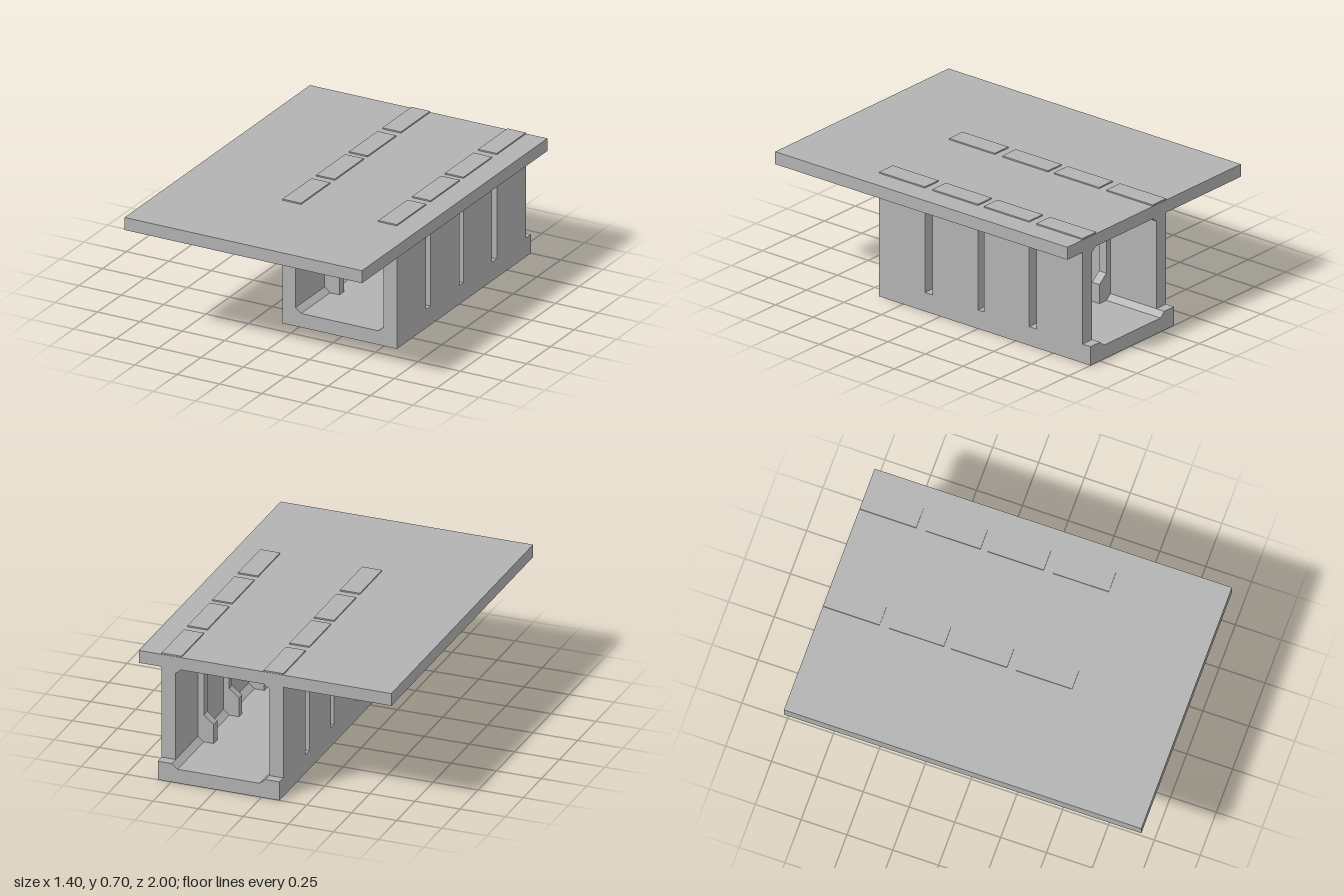
import * as THREE from 'three';

const CENTRE = 0.2375; // x of the girder's own mid-plane

export function createModel() {
  const model = new THREE.Group();
  const concrete = new THREE.MeshStandardMaterial({ color: 0xb2b2b2 });
  concrete.name = 'concrete grey';

  // Extrudes an x/y outline along z between z0 and z1
  function prism(name, points, z0, z1, hole) {
    const shape = new THREE.Shape(points.map(([x, y]) => new THREE.Vector2(x, y)));
    if (hole) shape.holes.push(new THREE.Path(hole.map(([x, y]) => new THREE.Vector2(x, y))));
    const geometry = new THREE.ExtrudeGeometry(shape, { depth: z1 - z0, bevelEnabled: false });
    const mesh = new THREE.Mesh(geometry, concrete);
    mesh.name = name;
    mesh.position.z = z0;
    model.add(mesh);
  }

  // Completes a half outline (left to mid-plane) with its mirror image
  const mirror = (points) => points.map(([x, y]) => [2 * CENTRE - x, y]).reverse();
  const symmetric = (half) => [...half, ...mirror(half)];

  // Wide deck slab
  prism('deckSlab', [[-0.7, 0.62], [0.7, 0.62], [0.7, 0.69], [-0.7, 0.69]], -0.95, 1);

  // Trough-shaped floor slab with upturned, chamfered edges
  prism('floorSlab', symmetric([
    [-0.1, 0], [-0.1, 0.105], [-0.022, 0.105], [0.01, 0.078],
  ]), -1, 0.41);

  // Wall panels, each with a haunched head passing up through the deck
  const wall = [
    [-0.1, 0.105], [-0.022, 0.105], [-0.022, 0.595],
    [0.01, 0.62], [0.01, 0.697], [-0.1, 0.697],
  ];
  const panels = [[0.105, 0.41], [-0.25, 0.055], [-0.59, -0.29], [-0.947, -0.64]];
  for (const [z0, z1] of panels) {
    prism('rightWallPanel', wall, z0, z1);
    prism('leftWallPanel', mirror(wall), z0, z1);
  }

  // Stiffening frames standing in the gaps between the panels
  const frame = symmetric([
    [0.065, 0.078], [0.01, 0.078], [-0.022, 0.105], [-0.022, 0.62],
  ]);
  // The opening is part of the outline because the frame is open at its foot
  const opening = [
    [0.065, 0.078], [0.065, 0.185], [0.01, 0.23], [0.01, 0.49], [0.1, 0.575],
  ];
  const frameOutline = [...frame, ...symmetric(opening).slice(1, -1).reverse()];
  // Drop the duplicated start point and walk round outer edge then inner edge
  const outer = frame.slice(0, -1);
  const inner = frameOutline.slice(frame.length);
  const right = [2 * CENTRE - 0.065, 0.078];
  for (const [z0, z1] of [[0.055, 0.105], [-0.29, -0.25], [-0.64, -0.59]]) {
    prism('stiffeningFrame', [...outer, right, ...inner], z0, z1);
  }

  return model;
}
